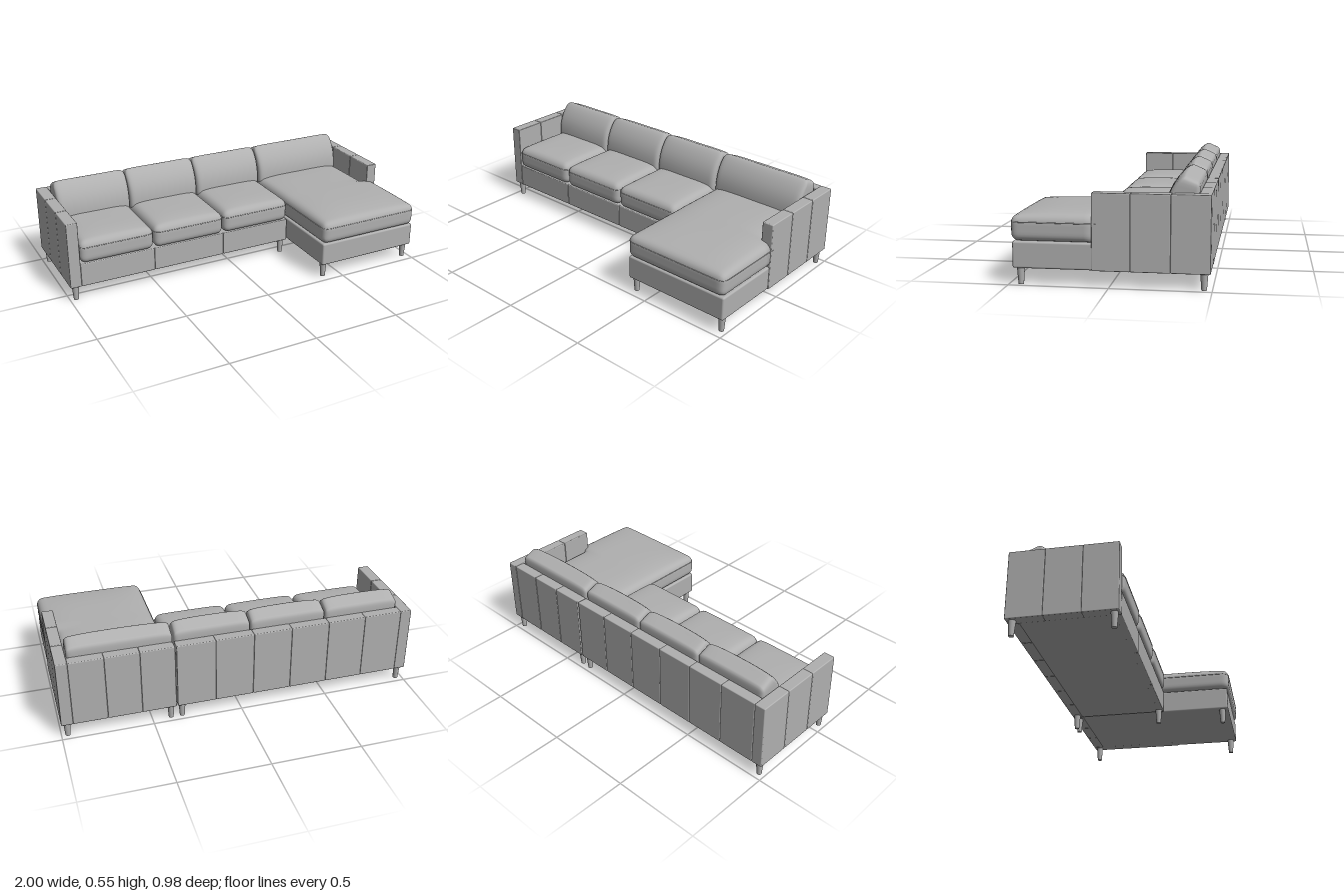
import * as THREE from 'three';
import { mergeVertices } from 'three/addons/utils/BufferGeometryUtils.js';
import { RoundedBoxGeometry } from 'three/addons/geometries/RoundedBoxGeometry.js';

const fabric = new THREE.MeshStandardMaterial({ color: 0xb0b0b0 });
fabric.name = 'grey upholstery';

function add(parent, name, geometry) {
  const mesh = new THREE.Mesh(geometry, fabric);
  mesh.name = name;
  parent.add(mesh);
  return mesh;
}

// Softly edged block given by its limits on each axis
function block(parent, name, [x0, x1], [y0, y1], [z0, z1], r = 0.007) {
  const mesh = add(parent, name, new RoundedBoxGeometry(x1 - x0, y1 - y0, z1 - z0, 3, r));
  mesh.position.set((x0 + x1) / 2, (y0 + y1) / 2, (z0 + z1) / 2);
}

// Move every vertex by a rule, then give the surface smooth normals
function warp(geometry, rule) {
  geometry.deleteAttribute('normal');
  geometry.deleteAttribute('uv');
  const g = mergeVertices(geometry, 1e-5);
  const p = g.attributes.position, v = new THREE.Vector3();
  for (let i = 0; i < p.count; i++) {
    rule(v.fromBufferAttribute(p, i));
    p.setXYZ(i, v.x, v.y, v.z);
  }
  g.computeVertexNormals();
  return g;
}

// Box with rounded edges and a fine grid, closer spaced towards the edges
function softBox(w, h, d, r, rule) {
  const half = new THREE.Vector3(w / 2, h / 2, d / 2);
  const inner = half.clone().subScalar(r);
  const core = new THREE.Vector3();
  return warp(new THREE.BoxGeometry(2, 2, 2, 28, 14, 36), v => {
    for (const a of ['x', 'y', 'z']) v[a] = Math.sin(v[a] * Math.PI / 2) * half[a];
    core.copy(v).clamp(inner.clone().negate(), inner);
    v.sub(core);
    if (v.lengthSq() > 1e-12) v.setLength(r);
    v.add(core);
    rule(v);
  });
}

// Closed piping around a rounded rectangle in plan
function pipingGeometry(w, d, r) {
  const points = [];
  for (let i = 0; i < 4; i++) {
    const sx = i === 0 || i === 3 ? 1 : -1, sz = i < 2 ? 1 : -1;
    for (let k = 0; k <= 4; k++) {
      const a = (i + k / 4) * Math.PI / 2;
      points.push(new THREE.Vector3(
        sx * (w / 2 - r) + r * Math.cos(a), 0, sz * (d / 2 - r) + r * Math.sin(a)));
    }
  }
  const path = new THREE.CurvePath();
  points.forEach((p, i) => path.add(new THREE.LineCurve3(p, points[(i + 1) % points.length])));
  return new THREE.TubeGeometry(path, 160, 0.0025, 6, true);
}

// Seat cushion with crowned top; narrow(v) may reshape it in plan
function seatCushion(parent, name, [x0, x1], [z0, z1], crown, narrow = () => {}) {
  const y0 = 0.217, h = 0.128, r = 0.038, w = x1 - x0, d = z1 - z0;
  const group = new THREE.Group();
  group.name = name;
  group.position.set((x0 + x1) / 2, y0 + h / 2, (z0 + z1) / 2);
  add(group, 'cushionBody', softBox(w, h, d, r, v => {
    const u = 2 * v.x / w, t = 2 * v.z / d;
    v.y += crown * Math.max(0, 2 * v.y / h) * (1 - u ** 4) * (1 - t ** 4);
    narrow(v);
  }));
  const piping = add(group, 'cushionPiping', warp(pipingGeometry(w, d, r), narrow));
  piping.position.y = h / 2 - r + 0.006;
  parent.add(group);
}

// Leaning back cushion: sloping front, upright rear, ridge near the front of its top
function backCushion(parent, x0, x1) {
  const h = 0.24, d = 0.17, w = x1 - x0;
  const mesh = add(parent, 'backCushion', softBox(w, h, d, 0.026, v => {
    const s = v.y / h + 0.5, t = v.z / d + 0.5, u = 2 * v.x / w;
    v.y = 0.31 + s * h - s * 0.036 * (1 - t) - 0.008 * s * u ** 6;
    v.z = -0.432 + t * (0.17 - 0.09 * s ** 3 + 0.01 * (1 - u * u));
  }));
  mesh.position.x = (x0 + x1) / 2;
}

export function createModel() {
  const sofa = new THREE.Group();
  sofa.name = 'sectionalSofa';
  const wallY = [0.083, 0.465];

  // Arms, each upholstered in three panels
  const armCuts = [-0.492, -0.3, -0.105, 0.083];
  for (const side of [-1, 1]) {
    const x = side < 0 ? [-0.998, -0.934] : [0.934, 0.998];
    for (let i = 0; i < 3; i++)
      block(sofa, side < 0 ? 'rightArmPanel' : 'leftArmPanel', x, wallY, [armCuts[i], armCuts[i + 1]], 0.005);
  }

  // Back wall panels behind both sections
  for (const [a, b, n] of [[-0.934, 0.362, 6], [0.369, 0.934, 3]]) {
    const step = (b - a) / n;
    for (let i = 0; i < n; i++)
      block(sofa, 'backPanel', [a + i * step, a + (i + 1) * step], wallY, [-0.492, -0.432], 0.005);
  }

  // Bases, with panelled front on the long section
  block(sofa, 'seatBase', [-0.936, 0.362], [0.084, 0.218], [-0.436, 0.075]);
  block(sofa, 'chaiseBase', [0.369, 0.994], [0.084, 0.218], [-0.436, 0.478], 0.01);
  const seatCuts = [-0.934, -0.5, -0.067, 0.362];
  for (let i = 0; i < 3; i++)
    block(sofa, 'frontPanel', [seatCuts[i], seatCuts[i + 1]], [0.083, 0.218], [0.05, 0.083], 0.005);

  // Seat and back cushions of the long section
  for (let i = 0; i < 3; i++) {
    const a = seatCuts[i] + 0.002, b = seatCuts[i + 1] - 0.002;
    seatCushion(sofa, 'seatCushion', [a, b], [-0.4, 0.092], 0.018);
    backCushion(sofa, a, b);
  }

  // Chaise cushion, narrowed where it runs beside the arm
  const cx = [0.365, 0.996], cz = [-0.4, 0.488];
  const midX = (cx[0] + cx[1]) / 2, midZ = (cz[0] + cz[1]) / 2;
  seatCushion(sofa, 'chaiseCushion', cx, cz, 0.025, v => {
    if (v.z + midZ < 0.06)
      v.x = cx[0] + (v.x + midX - cx[0]) * (0.934 - cx[0]) / (cx[1] - cx[0]) - midX;
  });
  backCushion(sofa, 0.368, 0.93);

  // Tapered legs, four under each section
  const legGeometry = new THREE.CylinderGeometry(0.02, 0.0135, 0.088, 20);
  for (const [xs, zs] of [[[-0.965, 0.333], [-0.46, 0.055]], [[0.396, 0.965], [-0.46, 0.442]]])
    for (const x of xs)
      for (const z of zs)
        add(sofa, 'leg', legGeometry).position.set(x, 0.044, z);

  return sofa;
}
